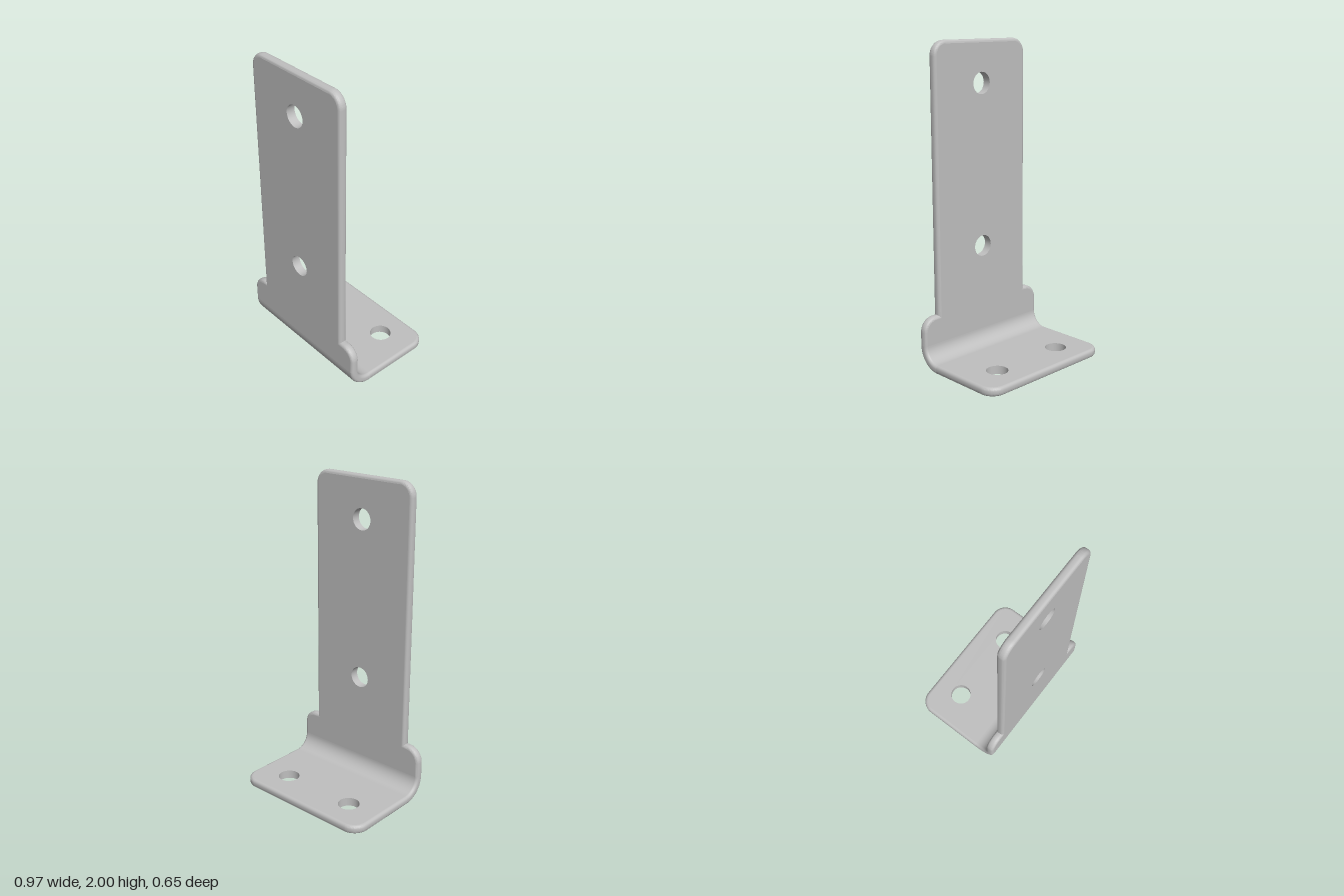
import * as THREE from 'three';
import { toCreasedNormals } from 'three/addons/utils/BufferGeometryUtils.js';

const THICK = 0.055, ROUND = 0.02, HALF = 0.484;
const BEND_Y = 0.15, BEND_Z = 0.175, HOLE = 0.068;

// Rounded-edge sheet with crisp drilled holes, cut flat at the line y = seam.
function plate(shape, holes, seam) {
  for (const [x, y] of holes) {
    shape.holes.push(new THREE.Path().absarc(x, y, HOLE, 0, Math.PI * 2, true));
  }
  const raw = new THREE.ExtrudeGeometry(shape, {
    depth: THICK - 2 * ROUND, curveSegments: 14, bevelSegments: 4,
    bevelThickness: ROUND, bevelSize: ROUND, bevelOffset: -ROUND,
  });
  raw.translate(0, 0, ROUND);
  const pos = raw.attributes.position;
  for (let i = 0; i < pos.count; i++) {
    let x = pos.getX(i), y = Math.max(pos.getY(i), seam);
    for (const [hx, hy] of holes) {
      const d = Math.hypot(x - hx, y - hy);
      if (d < HOLE + 0.03) {
        x = hx + (x - hx) * HOLE / d;
        y = hy + (y - hy) * HOLE / d;
      }
    }
    pos.setXY(i, x, y);
  }
  const geo = toCreasedNormals(raw, 0.5);
  // Keep the broad faces perfectly flat
  const p = geo.attributes.position, n = geo.attributes.normal;
  for (let i = 0; i < p.count; i += 3) {
    const z = p.getZ(i);
    const flat = [1, 2].every((k) => Math.abs(p.getZ(i + k) - z) < 1e-5);
    if (!flat) continue;
    for (let k = 0; k < 3; k++) n.setXYZ(i + k, 0, 0, z > THICK / 2 ? 1 : -1);
  }
  return geo;
}

// Rounded rectangular section swept through a quarter turn.
function bendGeometry() {
  const section = [];
  const inner = BEND_Y - THICK;
  const corners = [
    [HALF - ROUND, BEND_Y - ROUND], [-HALF + ROUND, BEND_Y - ROUND],
    [-HALF + ROUND, inner + ROUND], [HALF - ROUND, inner + ROUND],
  ];
  corners.forEach(([x, r], c) => {
    for (let i = 0; i <= 4; i++) {
      const a = (c + i / 4) * Math.PI / 2;
      section.push([x + ROUND * Math.cos(a), r + ROUND * Math.sin(a)]);
    }
  });
  const steps = 16, count = section.length, verts = [], index = [];
  for (let s = 0; s <= steps; s++) {
    const a = s / steps * Math.PI / 2;
    for (const [x, r] of section) {
      verts.push(x, BEND_Y - r * Math.cos(a), BEND_Z + r * Math.sin(a));
    }
  }
  for (let s = 0; s < steps; s++) {
    for (let i = 0; i < count; i++) {
      const j = (i + 1) % count;
      const a = s * count + i, b = s * count + j, c = a + count, d = b + count;
      index.push(a, c, b, b, c, d);
    }
  }
  const geo = new THREE.BufferGeometry();
  geo.setAttribute('position', new THREE.Float32BufferAttribute(verts, 3));
  geo.setIndex(index);
  geo.computeVertexNormals();
  return geo;
}

export function createModel() {
  const model = new THREE.Group();
  model.name = 'angleBracket';
  const steel = new THREE.MeshStandardMaterial({ color: 0xbfbfbf });
  steel.name = 'grey steel';
  const add = (name, geo) => {
    const mesh = new THREE.Mesh(geo, steel);
    mesh.name = name;
    model.add(mesh);
    return mesh;
  };

  // Upright with rounded top and two shoulders of slightly different height
  const w = 0.37, top = 2, r = 0.09, low = BEND_Y - 0.03;
  const rightTop = 0.325, leftTop = 0.343;
  const up = new THREE.Shape();
  up.moveTo(-HALF, low);
  up.lineTo(HALF, low);
  up.lineTo(HALF, rightTop - 0.09);
  up.absarc(HALF - 0.09, rightTop - 0.09, 0.09, 0, Math.PI / 2, false);
  up.lineTo(w, rightTop);
  up.lineTo(w, top - r);
  up.absarc(w - r, top - r, r, 0, Math.PI / 2, false);
  up.lineTo(-w + r, top);
  up.absarc(-w + r, top - r, r, Math.PI / 2, Math.PI, false);
  up.lineTo(-w, leftTop);
  up.lineTo(-HALF + 0.1, leftTop);
  up.absarc(-HALF + 0.1, leftTop - 0.1, 0.1, Math.PI / 2, Math.PI, false);
  up.closePath();
  const upright = add('uprightPlate', plate(up, [[0, 1.735], [0, 0.705]], BEND_Y));
  upright.position.z = BEND_Z + BEND_Y - THICK;

  // Foot plate with rounded back corners
  const back = 0.325, fr = 0.1;
  const base = new THREE.Shape();
  base.moveTo(-HALF, -BEND_Z - 0.03);
  base.lineTo(HALF, -BEND_Z - 0.03);
  base.lineTo(HALF, back - fr);
  base.absarc(HALF - fr, back - fr, fr, 0, Math.PI / 2, false);
  base.lineTo(-HALF + fr, back);
  base.absarc(-HALF + fr, back - fr, fr, Math.PI / 2, Math.PI, false);
  base.closePath();
  const foot = add('footPlate', plate(base, [[-0.258, 0.13], [0.258, 0.13]], -BEND_Z));
  foot.rotation.x = -Math.PI / 2;

  // Curved bend joining the two plates
  add('bend', bendGeometry());
  return model;
}
